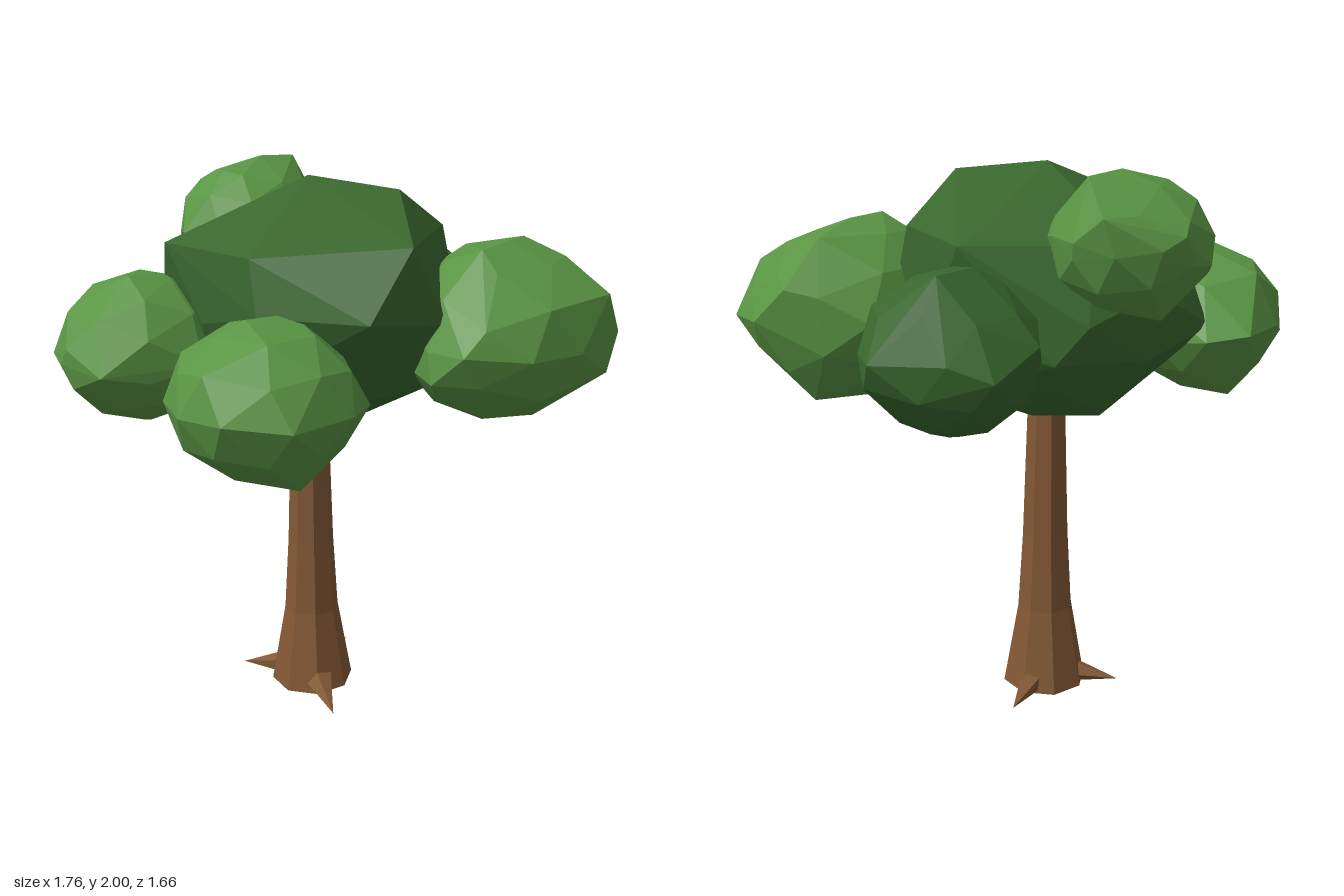
import * as THREE from 'three';
import { ConvexGeometry } from 'three/addons/geometries/ConvexGeometry.js';

const flat = (name, color) => {
  const m = new THREE.MeshStandardMaterial({ color, flatShading: true });
  m.name = name;
  return m;
};

// Faceted leaf clump: a round core with a few corners pulled out of it
function clumpGeometry(center, radii, turn, corners) {
  const core = new THREE.IcosahedronGeometry(1, 1);
  core.rotateX(turn);
  core.rotateY(turn * 2);
  core.scale(...radii);
  core.translate(...center);
  const p = core.attributes.position;
  const points = corners.map((c) => new THREE.Vector3(...c));
  for (let i = 0; i < p.count; i++) points.push(new THREE.Vector3().fromBufferAttribute(p, i));
  return new ConvexGeometry(points);
}

export function createModel() {
  const tree = new THREE.Group();
  tree.name = 'tree';
  const bark = flat('bark brown', 0x825835);
  bark.side = THREE.DoubleSide;
  const darkLeaf = flat('dark leaf green', 0x39672e);
  const lightLeaf = flat('light leaf green', 0x5a9544);

  const add = (parent, name, geo, mat) => {
    const mesh = new THREE.Mesh(geo, mat);
    mesh.name = name;
    parent.add(mesh);
    return mesh;
  };

  // Trunk and roots share an off-centre axis
  const base = new THREE.Group();
  base.name = 'trunkAndRoots';
  base.position.set(-0.03, 0, -0.135);
  tree.add(base);

  // Eight-sided trunk flaring at the foot, open underneath
  const profile = [[0.158, 0.015], [0.103, 0.33], [0.086, 0.62], [0.07, 1.12], [0.066, 1.3]]
    .map(([r, y]) => new THREE.Vector2(r, y));
  add(base, 'trunk', new THREE.LatheGeometry(profile, 8), bark);

  // Three pointed roots round the foot: heading in degrees and reach
  [[8, 0.295], [-129, 0.325], [-249, 0.285]].forEach(([heading, reach], i) => {
    const geo = new THREE.ConeGeometry(0.055, 0.21, 5);
    geo.rotateZ(-Math.PI / 2 - 0.13);
    geo.translate(reach - 0.104, 0.043, 0);
    add(base, 'root' + (i + 1), geo, bark).rotation.y = THREE.MathUtils.degToRad(heading);
  });

  // Crown: one large dark clump with smaller ones around it
  const crown = new THREE.Group();
  crown.name = 'crown';
  tree.add(crown);

  add(crown, 'mainClump', clumpGeometry([0, 1.52, -0.12], [0.48, 0.41, 0.53], 0.4, [
    [-0.03, 1.985, -0.13], [0.07, 1.95, 0.18], [0.36, 1.79, 0.18], [0.52, 1.77, -0.13],
    [-0.48, 1.78, -0.03], [-0.2, 1.82, 0.41], [-0.51, 1.6, 0.02], [-0.06, 1.55, 0.46],
    [-0.38, 1.6, 0.37], [-0.43, 1.78, -0.44], [-0.2, 1.45, -0.68], [0.41, 1.4, -0.42],
    [-0.05, 1.11, -0.05], [0.1, 1.16, -0.42],
  ]), darkLeaf);

  add(crown, 'leftClump', clumpGeometry([0.56, 1.44, -0.13], [0.29, 0.27, 0.3], 0.9, [
    [0.74, 1.42, -0.41], [0.55, 1.5, -0.45], [0.88, 1.46, -0.05], [0.84, 1.37, 0],
    [0.58, 1.47, 0.18], [0.73, 1.72, -0.2], [0.56, 1.72, -0.22], [0.55, 1.16, -0.14],
  ]), darkLeaf);

  add(crown, 'frontClump', clumpGeometry([0.28, 1.465, 0.47], [0.405, 0.315, 0.35], 1.5, [
    [-0.14, 1.47, 0.57], [-0.14, 1.36, 0.45], [0.08, 1.78, 0.5], [0.53, 1.75, 0.42],
    [0.69, 1.6, 0.44], [0.7, 1.48, 0.57], [0.55, 1.19, 0.45], [0.27, 1.14, 0.45],
    [0.38, 1.62, 0.83], [0.4, 1.34, 0.83], [0.55, 1.45, 0.8],
  ]), lightLeaf);

  add(crown, 'rightClump', clumpGeometry([-0.56, 1.355, 0.08], [0.31, 0.26, 0.32], 2.1, [
    [-0.87, 1.36, 0], [-0.88, 1.37, 0.18], [-0.84, 1.5, 0.08], [-0.6, 1.62, 0.05],
    [-0.42, 1.61, 0.1], [-0.24, 1.31, 0.2], [-0.36, 1.11, 0.1], [-0.59, 1.09, 0.25],
    [-0.76, 1.35, 0.36], [-0.52, 1.35, 0.41], [-0.39, 1.35, 0.38],
  ]), lightLeaf);

  add(crown, 'backClump', clumpGeometry([-0.46, 1.415, -0.53], [0.33, 0.26, 0.29], 2.8, [
    [-0.81, 1.4, -0.39], [-0.77, 1.4, -0.62], [-0.43, 1.42, -0.835], [-0.22, 1.42, -0.82],
    [-0.13, 1.4, -0.7], [-0.5, 1.4, -0.22], [-0.55, 1.68, -0.5], [-0.4, 1.6, -0.76],
    [-0.5, 1.15, -0.52], [-0.4, 1.15, -0.68],
  ]), lightLeaf);

  add(crown, 'topClump', clumpGeometry([0.16, 1.765, -0.55], [0.285, 0.22, 0.26], 3.3, [
    [-0.14, 1.75, -0.62], [0.15, 1.72, -0.82], [0.28, 1.82, -0.79],
    [0.45, 1.88, -0.6], [0.45, 1.8, -0.5], [0.23, 1.77, -0.27], [0.02, 1.96, -0.56],
    [0.2, 2.0, -0.53], [0.36, 1.99, -0.5], [0.2, 1.54, -0.68],
  ]), lightLeaf);

  return tree;
}
